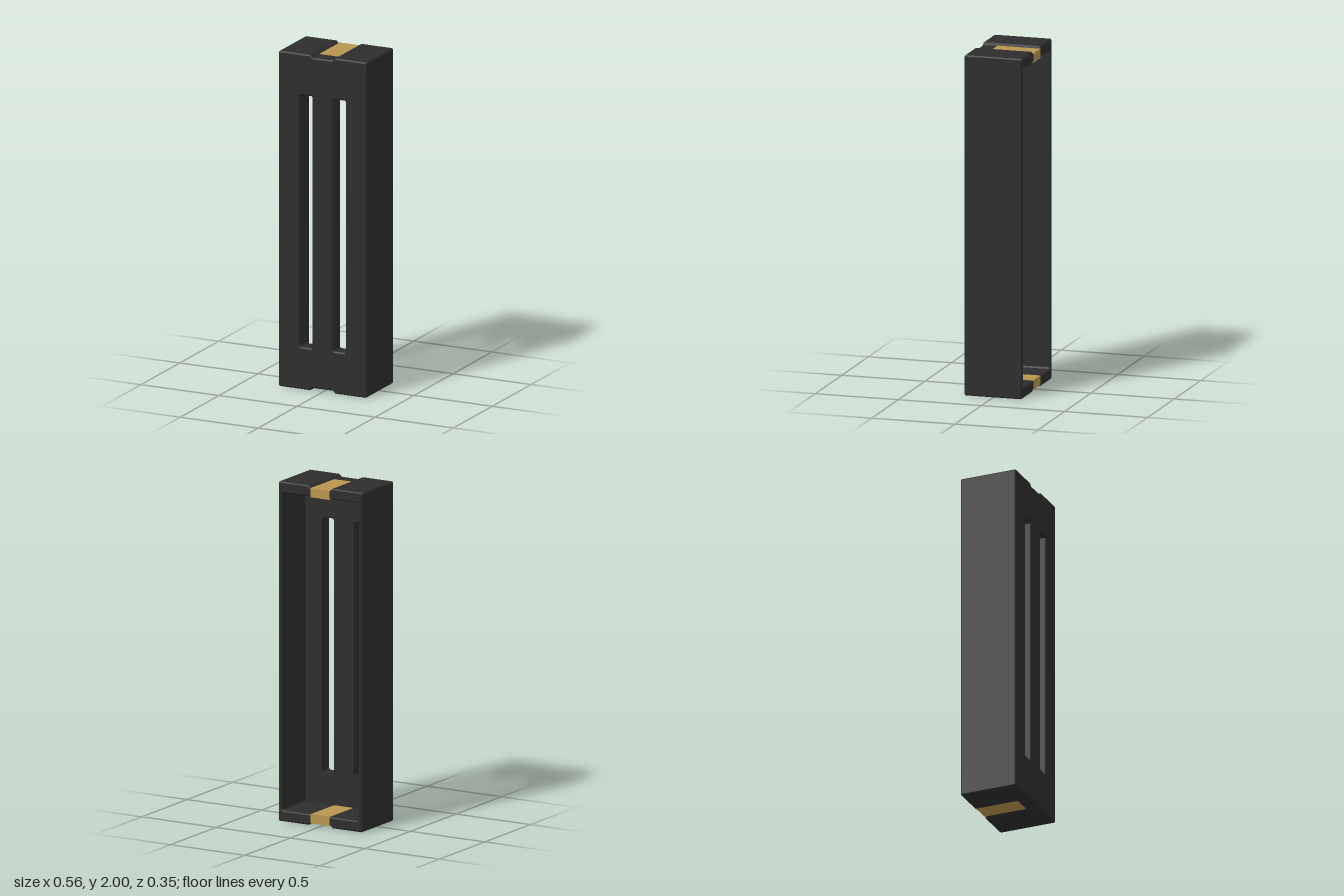
import * as THREE from 'three';

const HALF_W = 0.282, HEIGHT = 2, BACK = -0.174, FRONT = 0.174, SEAM = 0.084;
const CHAMFER = 0.007, SIDE_WALL = 0.026, END_WALL = 0.064, NOTCH = 0.015;

// Corner points of a rectangle with small cut corners
function cutRect(x0, y0, x1, y1, c) {
  return [[x0 + c, y0], [x1 - c, y0], [x1, y0 + c], [x1, y1 - c],
    [x1 - c, y1], [x0 + c, y1], [x0, y1 - c], [x0, y0 + c]]
    .map(([x, y]) => new THREE.Vector2(x, y));
}

// Front outline with a shallow clip notch in each end
function outline() {
  const c = CHAMFER, w = HALF_W, top = HEIGHT;
  const right = [[0.063, NOTCH], [0.08, 0], [w - c, 0], [w, c],
    [w, top - c], [w - c, top], [0.08, top], [0.063, top - NOTCH]];
  const left = right.map(([x, y]) => [-x, y]).reverse();
  return new THREE.Shape([...right, ...left].map(([x, y]) => new THREE.Vector2(x, y)));
}

// Extrusion chamfered at its outer end and flat at the seam
function section(holes, z0, z1, material, name) {
  const shape = outline();
  shape.holes = holes.map((points) => new THREE.Path(points));
  const geometry = new THREE.ExtrudeGeometry(shape, {
    depth: z1 - z0 - 2 * CHAMFER, bevelEnabled: true, bevelSegments: 1,
    bevelThickness: CHAMFER, bevelSize: CHAMFER, bevelOffset: -CHAMFER,
  });
  geometry.translate(0, 0, z0 + CHAMFER);
  const p = geometry.attributes.position;
  for (let i = 0; i < p.count; i++) {
    const z = p.getZ(i);
    p.setZ(i, z0 < BACK + 0.001 ? Math.min(z, SEAM) : Math.max(z, SEAM));
  }
  geometry.computeVertexNormals();
  const mesh = new THREE.Mesh(geometry, material);
  mesh.name = name;
  return mesh;
}

export function createModel() {
  const black = new THREE.MeshStandardMaterial({ color: 0x2d2d2d });
  black.name = 'charcoal plastic';
  const brass = new THREE.MeshStandardMaterial({ color: 0xb8944f });
  brass.name = 'brass';

  const model = new THREE.Group();
  model.name = 'slottedHousing';

  // Walls around the cavity, open at the back
  const cavity = cutRect(-HALF_W + SIDE_WALL, END_WALL, HALF_W - SIDE_WALL, HEIGHT - END_WALL, 0.008);
  model.add(section([cavity], BACK, SEAM + CHAMFER, black, 'housingWalls'));

  // Thick front panel with two long slots
  const slots = [[-0.141, -0.073], [0.073, 0.141]]
    .map(([a, b]) => cutRect(a - CHAMFER, 0.25, b + CHAMFER, 1.755, 0.008));
  model.add(section(slots, SEAM - CHAMFER, FRONT, black, 'frontPanel'));

  // Brass clips wrapped over the back edge of each end wall
  const outer = HEIGHT - NOTCH + 0.003, inner = HEIGHT - END_WALL - 0.003;
  const back = BACK - 0.001, end = SEAM - 0.001, t = 0.012;
  const profile = new THREE.Shape([
    [back, inner], [end, inner], [end, inner + t], [back + t, inner + t],
    [back + t, outer - t], [end, outer - t], [end, outer], [back, outer],
  ].map(([z, y]) => new THREE.Vector2(z, y)));
  const clipGeometry = new THREE.ExtrudeGeometry(profile, { depth: 0.126, bevelEnabled: false });
  clipGeometry.translate(0, 0, -0.063).rotateY(-Math.PI / 2);
  for (const name of ['topClip', 'bottomClip']) {
    const clip = new THREE.Mesh(clipGeometry, brass);
    clip.name = name;
    if (name === 'bottomClip') {
      clip.rotation.z = Math.PI;
      clip.position.y = HEIGHT;
    }
    model.add(clip);
  }
  return model;
}
